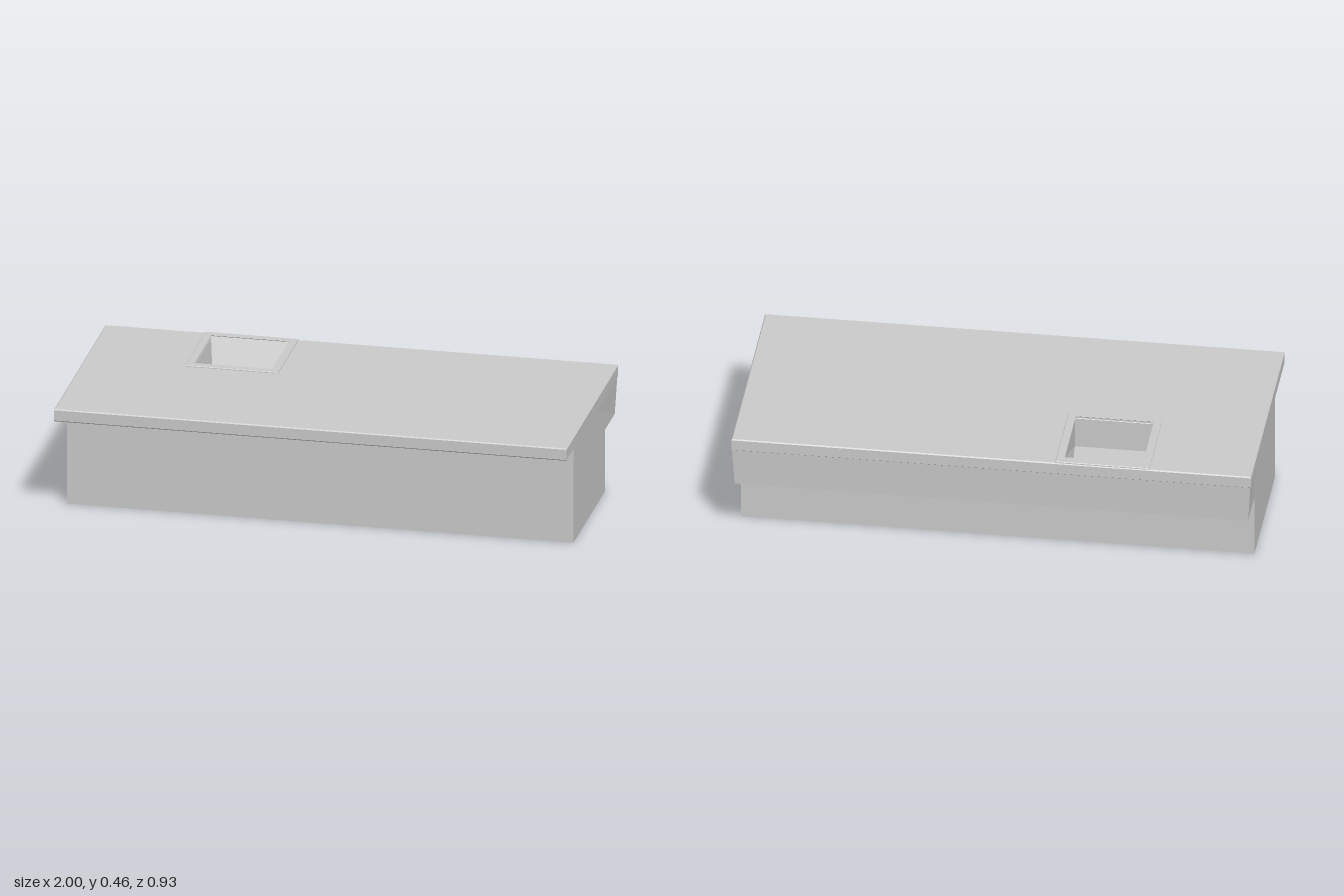
import * as THREE from 'three';

const material = new THREE.MeshStandardMaterial({ color: 0xcccccc, flatShading: true, side: THREE.DoubleSide });

// Mesh made of flat convex panels, each a list of [x, y, z] corners
function panelMesh(name, panels) {
  const positions = [];
  for (const p of panels) {
    for (let i = 1; i < p.length - 1; i++) positions.push(...p[0], ...p[i], ...p[i + 1]);
  }
  const geometry = new THREE.BufferGeometry();
  geometry.setAttribute('position', new THREE.Float32BufferAttribute(positions, 3));
  geometry.computeVertexNormals();
  const mesh = new THREE.Mesh(geometry, material);
  mesh.name = name;
  return mesh;
}

const rectangle = (x0, x1, z0, z1) => [[x0, z0], [x1, z0], [x1, z1], [x0, z1]];

// Horizontal plate with a rectangular opening and chamfered edges
function plate(name, outer, opening, y0, y1, chamfer) {
  // shape y is -z, so the extrusion rises after the rotation
  const points = (r) => rectangle(...r).map(([x, z]) => new THREE.Vector2(x, -z));
  const shape = new THREE.Shape(points(outer));
  shape.holes.push(new THREE.Path(points(opening)));
  const geometry = new THREE.ExtrudeGeometry(shape, {
    depth: y1 - y0 - 2 * chamfer,
    bevelEnabled: true,
    bevelSegments: 1,
    bevelSize: chamfer,
    bevelThickness: chamfer,
    bevelOffset: -chamfer,
  });
  geometry.rotateX(-Math.PI / 2);
  geometry.translate(0, y0 + chamfer, 0);
  const mesh = new THREE.Mesh(geometry, material);
  mesh.name = name;
  return mesh;
}

export function createModel() {
  const group = new THREE.Group();
  group.name = 'counter';

  // Cabinet: a section swept along x, open under the worktop
  const w = 0.988;
  const section = [[0.4, 0.285], [0, 0.285], [0, -0.285], [0.25, -0.285], [0.25, -0.456]];
  const panels = [];
  for (let i = 0; i < section.length - 1; i++) {
    const [[ya, za], [yb, zb]] = [section[i], section[i + 1]];
    panels.push([[-w, ya, za], [-w, yb, zb], [w, yb, zb], [w, ya, za]]);
  }
  // Back apron leans out to meet the worktop
  panels.push([[-w, 0.25, -0.456], [-0.998, 0.42, -0.462], [0.998, 0.42, -0.462], [w, 0.25, -0.456]]);
  for (const s of [-1, 1]) {
    const at = (y, z, x = w) => [s * x, y, z];
    // End panel, overhang and flared corner
    panels.push([at(0.4, 0.285), at(0, 0.285), at(0, -0.285), at(0.25, -0.285), at(0.4, -0.09)]);
    panels.push([at(0.4, -0.09), at(0.25, -0.285), at(0.25, -0.456)]);
    panels.push([at(0.4, -0.09), at(0.25, -0.456), at(0.42, -0.462, 0.998)]);
  }
  group.add(panelMesh('cabinet', panels));

  // Worktop and the raised rim around the basin
  group.add(plate('worktop', [-1, 1, -0.463, 0.463], [-0.585, -0.27, -0.43, -0.115], 0.4, 0.45, 0.004));
  group.add(plate('basinRim', [-0.608, -0.246, -0.46, -0.09], [-0.58, -0.274, -0.425, -0.12], 0.445, 0.455, 0.002));

  // Basin: open box with a sloping back wall
  const top = rectangle(-0.58, -0.274, -0.425, -0.12).map(([x, z]) => [x, 0.452, z]);
  const floor = [[-0.56, -0.36], [-0.294, -0.36], [-0.274, -0.12], [-0.58, -0.12]].map(([x, z]) => [x, 0.32, z]);
  const walls = top.map((p, i) => {
    const j = (i + 1) % 4;
    return [p, top[j], floor[j], floor[i]];
  });
  group.add(panelMesh('basin', [...walls, floor]));

  return group;
}
